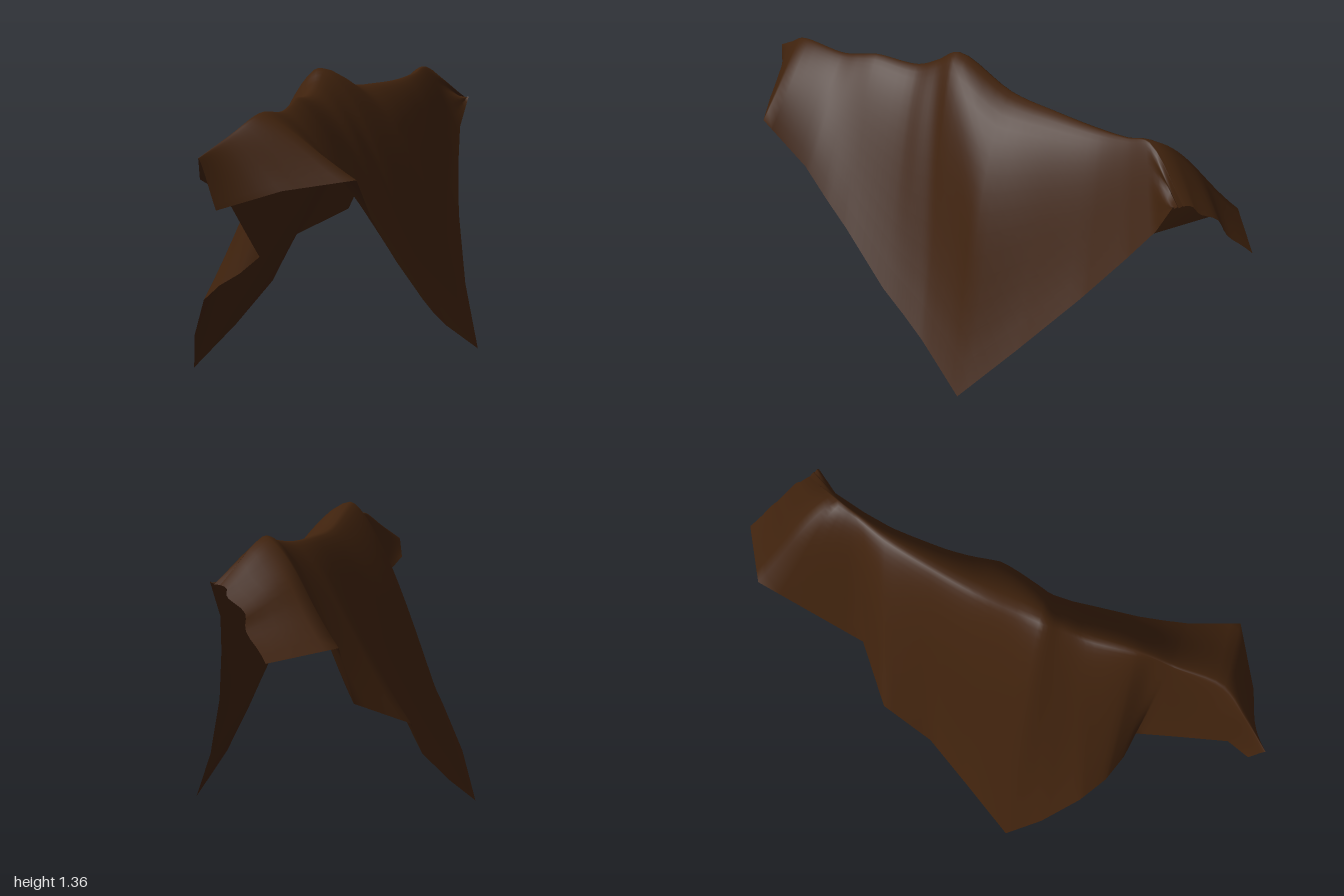
import * as THREE from 'three';

// Cross-sections along the drape, left end to right end: front hem, ridge, back hem
const stations = [
  [[-0.94, 0.93, 0.66], [-1, 1.13, 0.64], [-0.97, 1.04, 0.59]],
  [[-0.72, 1.0, 0.77], [-0.86, 1.2, 0.62], [-0.86, 0.97, 0.57]],
  [[-0.45, 1.03, 0.86], [-0.72, 1.27, 0.59], [-0.72, 0.8, 0.45]],
  [[-0.3, 0.85, 0.72], [-0.55, 1.25, 0.46], [-0.58, 0.64, 0.32]],
  [[-0.2, 0.73, 0.66], [-0.48, 1.265, 0.4], [-0.63, 0.56, 0.24]],
  [[-0.1, 0.62, 0.6], [-0.42, 1.28, 0.34], [-0.67, 0.49, 0.13]],
  [[0.1, 0.41, 0.5], [-0.28, 1.27, 0.2], [-0.68, 0.4, 0]],
  [[0.2, 0.32, 0.44], [-0.21, 1.31, 0.13], [-0.645, 0.2, -0.17]],
  [[0.3, 0.24, 0.39], [-0.15, 1.36, 0.06], [-0.58, 0, -0.32]],
  [[0.53, 0.08, 0.31], [0.1, 1.26, -0.09], [-0.33, 0.15, -0.39]],
  [[0.62, 0.32, 0.08], [0.3, 1.24, -0.21], [-0.1, 0.31, -0.46]],
  [[0.74, 0.6, -0.15], [0.5, 1.235, -0.32], [0.09, 0.48, -0.59]],
  [[0.84, 0.82, -0.3], [0.63, 1.25, -0.38], [0.37, 0.59, -0.55]],
  [[0.91, 0.97, -0.39], [0.73, 1.27, -0.43], [0.72, 0.88, -0.86]],
  [[0.98, 1.11, -0.42], [0.97, 1.1, -0.47], [1.0, 0.84, -0.78]],
];
const SPANS = stations.length - 1;
const STEPS = 5; // columns per span
const SIDE = 16; // rows from ridge to hem

const vec = (p) => new THREE.Vector3(...p);
const ridge = new THREE.CatmullRomCurve3(stations.map((s) => vec(s[1])), false, 'centripetal');

// Hems run straight between stations so the cloth corners stay sharp
function hemPoint(side, u) {
  const i = Math.min(Math.floor(u), SPANS - 1);
  return vec(stations[i][side]).lerp(vec(stations[i + 1][side]), u - i);
}

const bell = (x, width) => Math.exp(-(x * x) / (width * width));

// Point on the cloth: v runs from -1 (front hem) over 0 (ridge) to 1 (back hem)
function clothPoint(u, v) {
  const t = Math.abs(v);
  const front = v < 0;
  const top = ridge.getPoint(u / SPANS);
  const hem = hemPoint(front ? 0 : 2, u);

  // Rounded shoulder at the ridge, steep middle, flare towards the hem
  const shoulder = front ? 0.25 + 0.4 * bell(u - 9, 3) : 0.3 + 0.15 * bell(u - 13, 1.5);
  const drop = Math.pow(t, 1.8);
  const spread = drop + shoulder * Math.pow(t, 0.9) * (1 - drop) ** 2;
  const p = top.clone().lerp(hem, spread);
  p.y = THREE.MathUtils.lerp(top.y, hem.y, drop);

  // Soft folds fanning down from the peak, fading at ridge and hem
  let push = front
    ? 0.02 * bell(u - 8.3 - 1.2 * t, 0.5) - 0.015 * bell(u - 7.2 - 0.6 * t, 0.6)
    : 0.015 * bell(u - 7.8, 0.8) - 0.03 * bell(u - 4.2, 1.1);
  // Small gathers at the right end of the ridge
  if (u > 13) push += 0.02 * (u - 13) * Math.sin(v * 14);
  push *= Math.sin(Math.PI * t) * (front ? 1 : -1);
  p.x += 0.5 * push;
  p.z += 0.86 * push;
  return p;
}

function clothGeometry() {
  const cols = SPANS * STEPS;
  const rows = SIDE * 2;
  const positions = [];
  const indices = [];
  for (let i = 0; i <= cols; i++) {
    for (let j = 0; j <= rows; j++) {
      positions.push(...clothPoint(i / STEPS, j / SIDE - 1).toArray());
      if (i < cols && j < rows) {
        const a = i * (rows + 1) + j;
        const b = a + rows + 1;
        indices.push(a, b, a + 1, b, b + 1, a + 1);
      }
    }
  }
  const geometry = new THREE.BufferGeometry();
  geometry.setAttribute('position', new THREE.Float32BufferAttribute(positions, 3));
  geometry.setIndex(indices);
  geometry.computeVertexNormals();
  return geometry;
}

export function createModel() {
  const group = new THREE.Group();
  group.name = 'drapedCloth';
  const material = new THREE.MeshStandardMaterial({ color: 0x3f220d, side: THREE.DoubleSide });
  material.name = 'dark brown cloth';

  // Single square sheet hanging over a diagonal ridge
  const cloth = new THREE.Mesh(clothGeometry(), material);
  cloth.name = 'cloth';
  group.add(cloth);
  return group;
}
